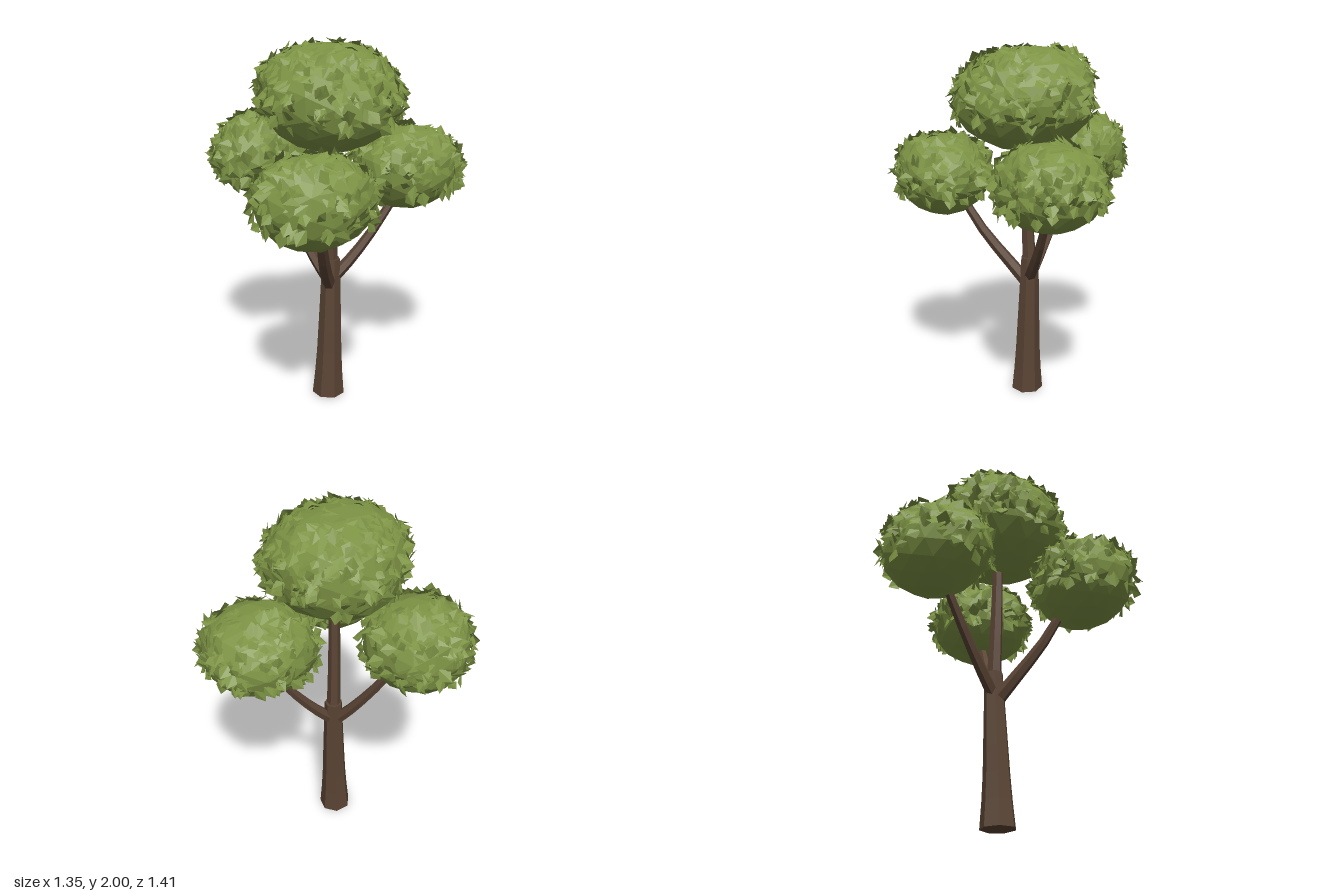
import * as THREE from 'three';

const V = (x, y, z) => new THREE.Vector3(x, y, z);

// Small seeded random generator
function seeded(seed) {
  let s = seed;
  return () => {
    s = (s * 16807) % 2147483647;
    return s / 2147483647;
  };
}

// Tapered, capped limb that follows a curve through the given points
function limb(name, points, radii, material, sides = 6, segments = 6) {
  const curve = new THREE.CatmullRomCurve3(points);
  const geo = new THREE.CylinderGeometry(1, 1, 1, sides, segments);
  const pos = geo.attributes.position;
  const up = V(0, 1, 0), v = V(0, 0, 0), q = new THREE.Quaternion();
  for (let i = 0; i < pos.count; i++) {
    const t = THREE.MathUtils.clamp(pos.getY(i) + 0.5, 0, 1);
    const k = Math.min(Math.floor(t * (radii.length - 1)), radii.length - 2);
    const r = THREE.MathUtils.lerp(radii[k], radii[k + 1], t * (radii.length - 1) - k);
    q.setFromUnitVectors(up, curve.getTangent(t));
    v.set(pos.getX(i) * r, 0, pos.getZ(i) * r).applyQuaternion(q).add(curve.getPoint(t));
    pos.setXYZ(i, v.x, v.y, v.z);
  }
  geo.computeVertexNormals();
  const mesh = new THREE.Mesh(geo, material);
  mesh.name = name;
  return mesh;
}

// Pushes a unit direction out to the cluster surface: round below, boxier above,
// swollen or dented around each lobe direction
function toSurface(v, { size, lobes }) {
  const p = 2.2 + 0.3 * v.y;
  const sum = Math.abs(v.x) ** p + Math.abs(v.y) ** p + Math.abs(v.z) ** p;
  let r = sum ** (-1 / p);
  for (const [x, y, z, amount] of lobes) {
    r += amount * Math.max(0, V(x, y, z).normalize().dot(v)) ** 5;
  }
  return v.multiplyScalar(r).multiply(size);
}

// Faceted, uneven core of a leaf cluster
function clusterCore(cluster, material) {
  const geo = new THREE.IcosahedronGeometry(1, 2);
  const pos = geo.attributes.position;
  const v = V(0, 0, 0);
  for (let i = 0; i < pos.count; i++) {
    toSurface(v.fromBufferAttribute(pos, i), cluster);
    pos.setXYZ(i, v.x, v.y, v.z);
  }
  geo.computeVertexNormals();
  const mesh = new THREE.Mesh(geo, material);
  mesh.name = 'clusterCore';
  return mesh;
}

// Folded pointed leaves scattered over the upper and middle part of a core
function clusterLeaves(cluster, seed, material) {
  const rnd = seeded(seed);
  const out = [];
  const n = V(0, 0, 0), base = V(0, 0, 0), dir = V(0, 0, 0), side = V(0, 0, 0), face = V(0, 0, 0);
  for (let i = 0; i < cluster.leaves; i++) {
    const y = -0.38 + 1.36 * rnd();
    const a = rnd() * Math.PI * 2;
    const h = Math.sqrt(1 - y * y);
    n.set(h * Math.cos(a), y, h * Math.sin(a));
    toSurface(base.copy(n), cluster).multiplyScalar(0.98);
    n.divide(cluster.size).normalize();
    // leaf direction leans out from the surface, less so on the crown
    dir.set(rnd() - 0.5, rnd() - 0.5, rnd() - 0.5).cross(n).normalize();
    dir.addScaledVector(n, (0.1 + 0.75 * rnd()) * (1 - 0.5 * Math.max(0, y))).normalize();
    side.crossVectors(dir, n).normalize();
    face.crossVectors(side, dir);
    const len = 0.055 + 0.035 * rnd();
    const wid = len * 0.42;
    const at = (l, w, f) => base.clone().addScaledVector(dir, l * len)
      .addScaledVector(side, w * wid).addScaledVector(face, f * len);
    const stem = at(-0.1, 0, 0), tip = at(1, 0, -0.05);
    const left = at(0.5, -1, -0.12), right = at(0.5, 1, -0.12);
    for (const p of [stem, right, tip, stem, tip, left]) out.push(p.x, p.y, p.z);
  }
  const geo = new THREE.BufferGeometry();
  geo.setAttribute('position', new THREE.Float32BufferAttribute(out, 3));
  geo.computeVertexNormals();
  const mesh = new THREE.Mesh(geo, material);
  mesh.name = 'leaves';
  return mesh;
}

export function createModel() {
  const bark = new THREE.MeshStandardMaterial({ color: 0x5a4434, flatShading: true });
  bark.name = 'brown bark';
  const green = new THREE.MeshStandardMaterial({ color: 0x7e9445, flatShading: true, side: THREE.DoubleSide });
  green.name = 'leaf green';

  const tree = new THREE.Group();
  tree.name = 'tree';

  // Trunk and the limb that continues it upwards
  tree.add(limb('trunk',
    [V(-0.105, 0, 0.01), V(-0.096, 0.27, 0.008), V(-0.086, 0.55, 0.004), V(-0.078, 0.82, 0)],
    [0.092, 0.074, 0.066, 0.058, 0.05], bark, 7));
  tree.add(limb('upperTrunk',
    [V(-0.08, 0.78, 0), V(-0.088, 1.1, 0.012), V(-0.09, 1.55, 0.025)],
    [0.04, 0.034, 0.028], bark));

  // Three curved side branches
  tree.add(limb('frontBranch',
    [V(-0.095, 0.67, 0.015), V(-0.15, 0.78, 0.095), V(-0.225, 0.97, 0.23), V(-0.29, 1.18, 0.34)],
    [0.038, 0.034, 0.028, 0.022], bark));
  tree.add(limb('backBranch',
    [V(-0.095, 0.7, -0.01), V(-0.14, 0.8, -0.085), V(-0.21, 1, -0.21), V(-0.28, 1.24, -0.34)],
    [0.036, 0.032, 0.027, 0.022], bark));
  tree.add(limb('leftBranch',
    [V(-0.065, 0.71, 0.005), V(0.02, 0.79, 0.015), V(0.155, 0.95, 0.03), V(0.3, 1.16, 0.045)],
    [0.036, 0.032, 0.027, 0.022], bark));

  // Leaf clusters; each lobe is a direction and how far it swells
  const clusters = [
    {
      name: 'frontCluster', centre: V(-0.345, 1.275, 0.415), size: V(0.28, 0.228, 0.25), leaves: 290,
      lobes: [[-0.5, 0.3, 0.85, 0.07], [1, 0, 0.3, 0.09], [-0.6, 0.2, -0.8, 0.09]],
    },
    {
      name: 'backCluster', centre: V(-0.32, 1.35, -0.395), size: V(0.275, 0.23, 0.26), leaves: 290,
      lobes: [[-0.7, 0, 0.7, 0.2], [-0.7, 0.1, -0.7, -0.06], [0.1, 0.5, -0.8, 0.05], [0.1, -0.5, -0.8, 0.06]],
    },
    {
      name: 'leftCluster', centre: V(0.345, 1.305, 0.055), size: V(0.285, 0.225, 0.27), leaves: 290,
      lobes: [[0.2, 0.1, 1, 0.08], [0.6, 0.1, -0.8, 0.05], [-0.35, 0, -1, 0.07], [1, 0.2, 0, 0.03]],
    },
    {
      name: 'topCluster', centre: V(-0.085, 1.7, 0.03), size: V(0.36, 0.275, 0.355), leaves: 430,
      lobes: [[0.5, 0.6, -0.6, 0.1], [-0.7, 0.6, -0.3, 0.06], [0.3, 0.7, 0.7, -0.1],
        [0, -0.1, 1, 0.07], [0, -0.5, -0.8, 0.07]],
    },
  ];
  clusters.forEach((cluster, i) => {
    const group = new THREE.Group();
    group.name = cluster.name;
    group.position.copy(cluster.centre);
    group.add(clusterCore(cluster, green), clusterLeaves(cluster, 7919 * (i + 1), green));
    tree.add(group);
  });

  return tree;
}
